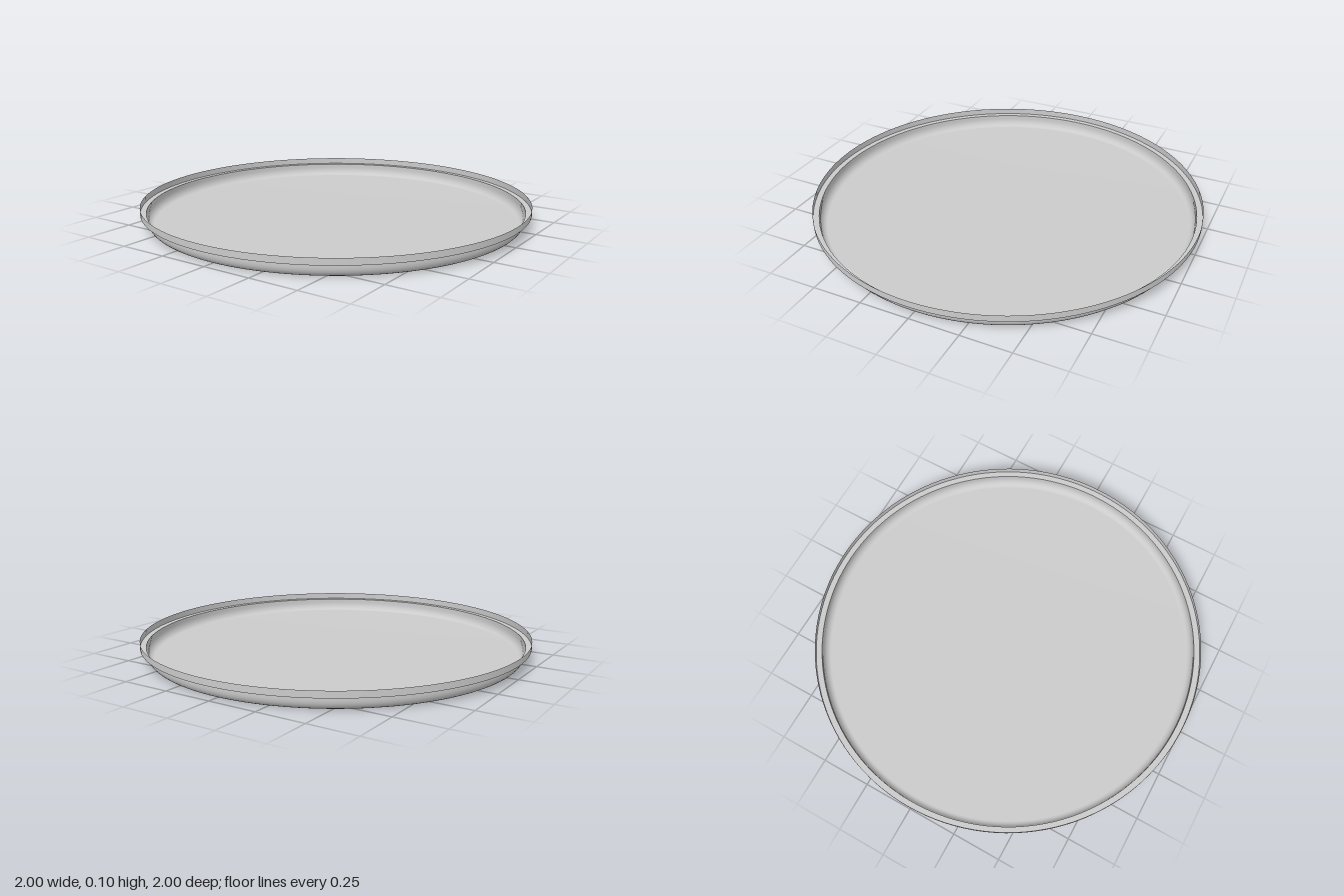
import * as THREE from 'three';

const material = new THREE.MeshStandardMaterial({ color: 0xcccccc, side: THREE.DoubleSide });

// Revolves a [radius, height] profile into a thin sheet
function revolve(name, profile) {
  const points = profile.map(([r, y]) => new THREE.Vector2(r, y));
  const mesh = new THREE.Mesh(new THREE.LatheGeometry(points, 128), material);
  mesh.name = name;
  return mesh;
}

export function createModel() {
  const tray = new THREE.Group();
  tray.name = 'roundTray';

  // Flat floor rolling up through a rounded corner into the low side wall
  const profile = [[0, 0]];
  const steps = 6;
  for (let i = 0; i <= steps; i++) {
    const a = (i / steps) * Math.PI / 2;
    profile.push([0.935 + 0.035 * Math.sin(a), 0.045 * (1 - Math.cos(a))]);
  }
  profile.push([0.97, 0.065]);
  tray.add(revolve('bowl', profile));

  // Sharp step outwards, then the upright lip
  tray.add(revolve('ledge', [[0.97, 0.065], [1, 0.065]]));
  tray.add(revolve('lip', [[1, 0.065], [1, 0.098]]));

  return tray;
}
